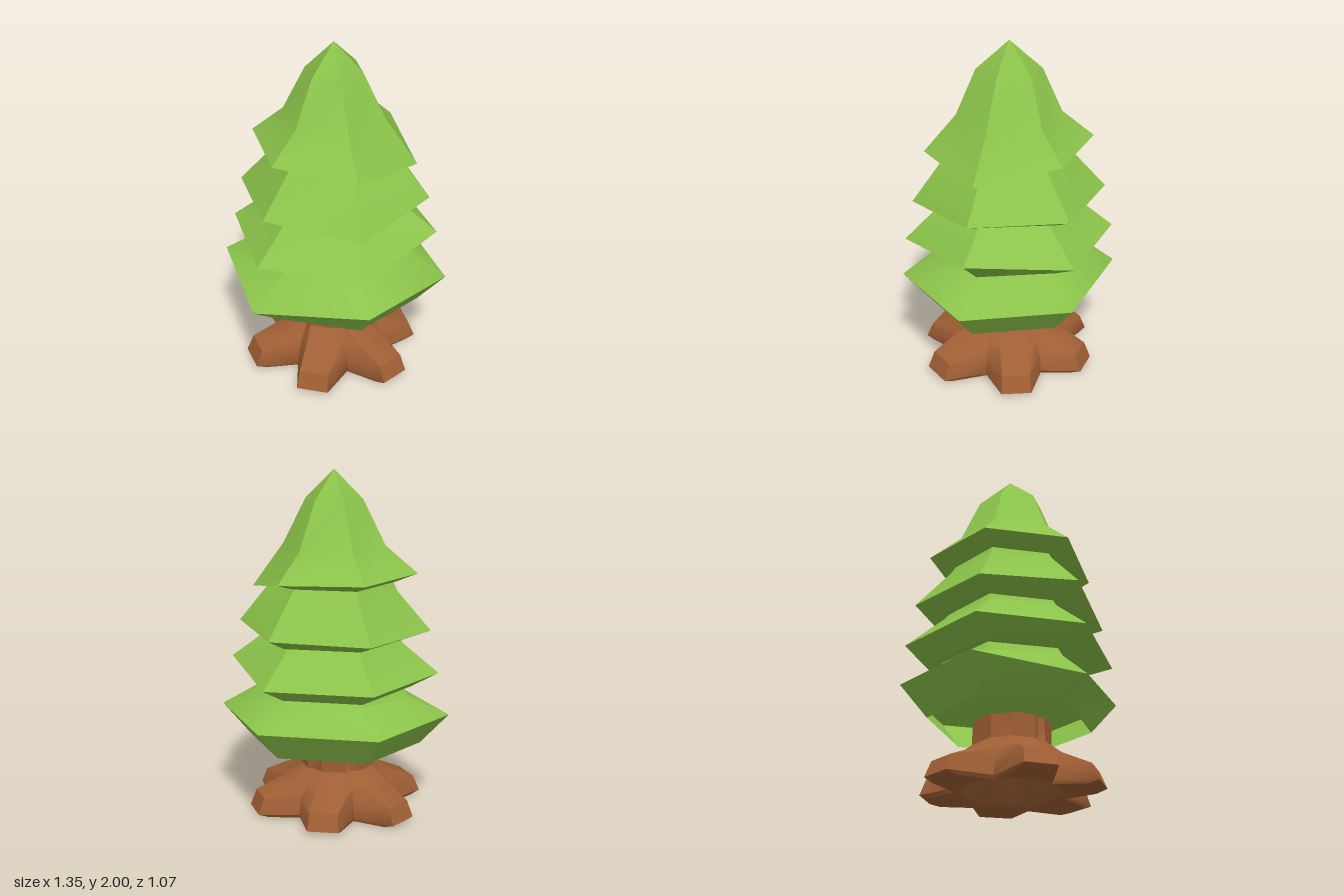
import * as THREE from 'three';
import { toCreasedNormals } from 'three/addons/utils/BufferGeometryUtils.js';

// Skin a stack of closed rings (arrays of Vector3), listed from bottom to top.
function skin(rings, crease) {
  const pos = [];
  const tri = (a, b, c) => {
    if (a.distanceTo(b) < 1e-5 || b.distanceTo(c) < 1e-5 || c.distanceTo(a) < 1e-5) return;
    for (const p of [a, b, c]) pos.push(p.x, p.y, p.z);
  };
  for (let i = 0; i < rings.length - 1; i++) {
    const lo = rings[i], hi = rings[i + 1], n = lo.length;
    for (let j = 0; j < n; j++) {
      const k = (j + 1) % n;
      tri(lo[j], hi[j], lo[k]);
      tri(lo[k], hi[j], hi[k]);
    }
  }
  const geo = new THREE.BufferGeometry();
  geo.setAttribute('position', new THREE.Float32BufferAttribute(pos, 3));
  return toCreasedNormals(geo, crease);
}

// Six-cornered ring; heights start at +x and run by the front to the back.
function hexRing(radius, height, depth = 0.91) {
  return Array.from({ length: 6 }, (_, i) => {
    const a = (i * Math.PI) / 3;
    const y = Array.isArray(height) ? height[i] : height;
    return new THREE.Vector3(radius * Math.cos(a), y, radius * depth * Math.sin(a));
  });
}

// Trunk ring: six blunt roots with a valley after each.
const rootAngles = [32, 90, 145, 211, 268, 331];
const rootLengths = [1, 1, 1.02, 1.0, 0.95, 0.95];
function trunkRing(y, root, valley, halfAngle, dx = 0, dz = 0) {
  const ring = [];
  const add = (deg, r) => {
    const a = THREE.MathUtils.degToRad(deg);
    ring.push(new THREE.Vector3(dx + r * Math.cos(a), y, dz + r * Math.sin(a)));
  };
  rootAngles.forEach((deg, i) => {
    const next = i < 5 ? rootAngles[i + 1] : rootAngles[0] + 360;
    const r = root > 0.3 ? root * rootLengths[i] : root;
    add(deg - halfAngle, r);
    add(deg + halfAngle, r);
    add((deg + next) / 2, valley);
  });
  return ring;
}

export function createModel() {
  const group = new THREE.Group();
  const add = (name, geometry, color) => {
    const material = new THREE.MeshStandardMaterial({ color, side: THREE.DoubleSide });
    const mesh = new THREE.Mesh(geometry, material);
    mesh.name = name;
    group.add(mesh);
  };
  const green = 0x8bc34a;

  // Lowest skirt: open below, with a domed top hidden in the next skirt
  add('lowerFoliage', skin([
    hexRing(0.51, 0.41),
    hexRing(0.675, [0.59, 0.59, 0.52, 0.59, 0.59, 0.59], 0.915),
    hexRing(0.435, [0.735, 0.72, 0.7, 0.685, 0.72, 0.73], 0.97),
    hexRing(0.4, 0.755, 0.97),
    hexRing(0, 0.83),
  ], 0.7), green);

  // Upper skirts: each an underside, an uneven rim and a slope
  add('upperFoliage', skin([
    hexRing(0.36, 0.755, 0.97),
    hexRing(0.45, 0.75, 1.0),
    hexRing(0.61, [0.89, 0.81, 0.83, 0.84, 0.84, 0.84], 1.0),
    hexRing(0.4, [1.05, 1.04, 1.02, 1.01, 1.03, 1.04], 0.95),
    hexRing(0.38, 1.055, 0.95),
    hexRing(0.43, 1.05, 1.05),
    hexRing(0.56, [1.11, 1.05, 1.11, 1.09, 1.1, 1.11], 1.0),
    hexRing(0.365, [1.355, 1.34, 1.33, 1.315, 1.33, 1.35], 0.97),
    hexRing(0.34, 1.37, 0.97),
    hexRing(0.36, 1.37, 1.0),
    hexRing(0.48, [1.315, 1.36, 1.415, 1.42, 1.42, 1.41], 1.01),
    hexRing(0.295, 1.575, 1.02),
    hexRing(0.165, 1.835, 1.17),
    hexRing(0, 2),
  ], 0.6), green);

  // Trunk: hollow foot, spreading roots, short column with a flat top
  add('trunk', skin([
    trunkRing(0.22, 0, 0, 10),
    trunkRing(0.19, 0.15, 0.14, 14),
    trunkRing(0.02, 0.28, 0.26, 14),
    trunkRing(0, 0.47, 0.31, 12),
    trunkRing(0.02, 0.53, 0.325, 10),
    trunkRing(0.115, 0.49, 0.305, 10),
    trunkRing(0.19, 0.32, 0.265, 14, -0.01, 0.01),
    trunkRing(0.265, 0.22, 0.2, 18, -0.02, 0.015),
    trunkRing(0.4, 0.22, 0.2, 18, -0.02, 0.015),
    trunkRing(0.4, 0, 0, 18, -0.02, 0.015),
  ], 0.7), 0xa05f35);

  return group;
}
